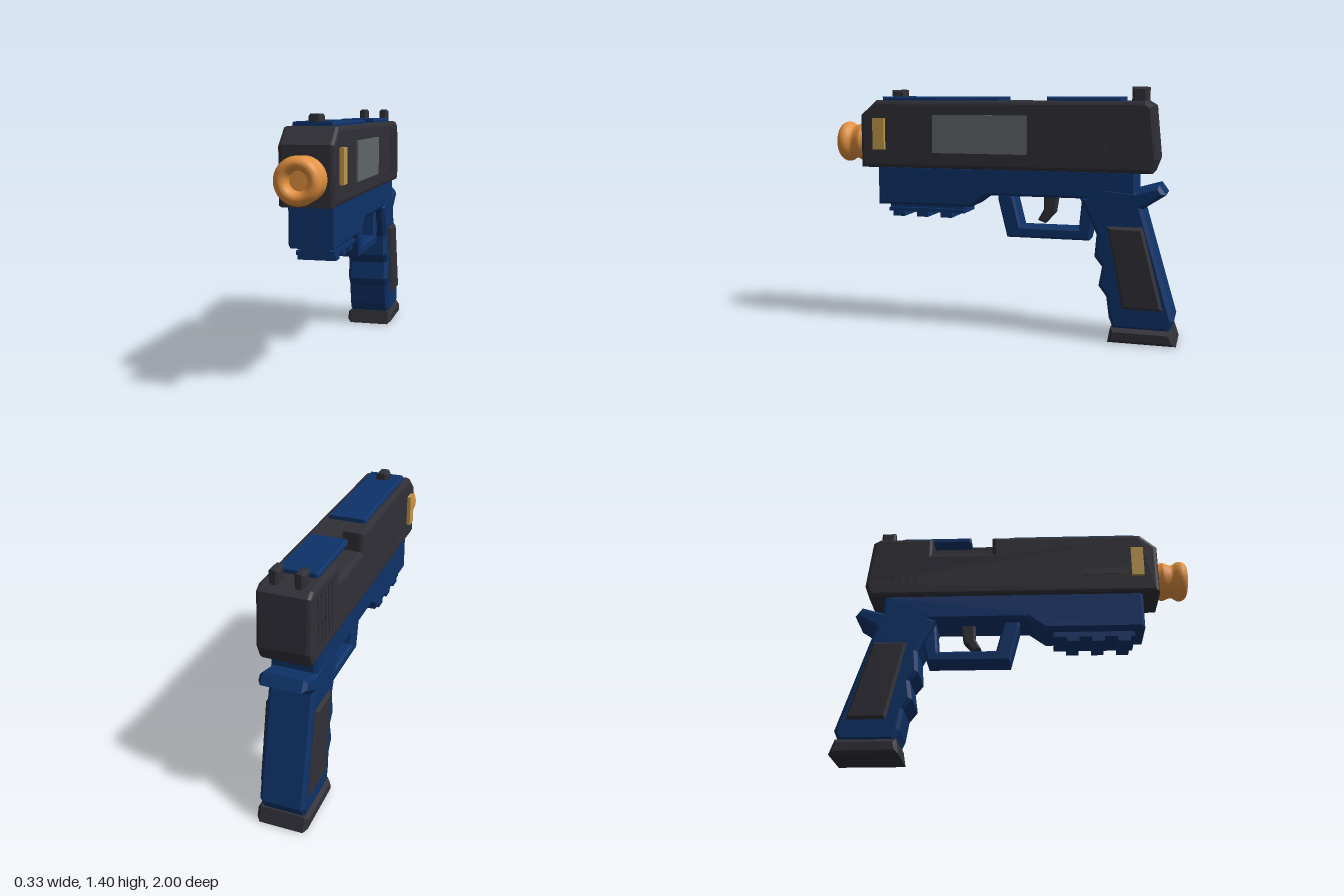
import * as THREE from 'three';

const mat = (name, color) => Object.assign(new THREE.MeshStandardMaterial({ color }), { name });

export function createModel() {
  const dark = mat('charcoal', 0x302f37);
  const blue = mat('navy blue', 0x0e3268);
  const orange = mat('orange', 0xe29140);
  const gold = mat('brass', 0xbf984c);
  const grey = mat('grey', 0x5f6567);
  const model = new THREE.Group();
  model.name = 'toyPistol';

  const add = (name, geometry, material) => {
    const mesh = new THREE.Mesh(geometry, material);
    mesh.name = name;
    model.add(mesh);
    return mesh;
  };

  // Side outline of [z, y] points, extruded from x0 to x1 with bevelled edges
  const slab = (points, x0, x1, bevel, segments = 1) => {
    const shape = new THREE.Shape(points.map(([z, y]) => new THREE.Vector2(z, y)));
    const g = new THREE.ExtrudeGeometry(shape, {
      depth: x1 - x0 - 2 * bevel, bevelEnabled: bevel > 0, bevelSize: bevel,
      bevelThickness: bevel, bevelOffset: -bevel, bevelSegments: segments,
    });
    g.rotateY(-Math.PI / 2);
    g.translate(x1 - bevel, 0, 0);
    return g;
  };

  // Cuts a slab flat at a plane of constant x
  const clampX = (g, lo, hi) => {
    const p = g.attributes.position;
    for (let i = 0; i < p.count; i++) p.setX(i, Math.min(hi, Math.max(lo, p.getX(i))));
    g.computeVertexNormals();
    return g;
  };

  const box = (name, x0, x1, y0, y1, z0, z1, material) => {
    const g = new THREE.BoxGeometry(x1 - x0, y1 - y0, z1 - z0);
    g.translate((x0 + x1) / 2, (y0 + y1) / 2, (z0 + z1) / 2);
    return add(name, g, material);
  };
  const rect = (z0, z1, y0, y1) => [[z0, y0], [z1, y0], [z1, y1], [z0, y1]];

  // Slide: two halves, the right one with the ejection notch
  const slideLow = [[-0.81, 1.325], [-0.85, 1.3], [-0.88, 1.015], [-0.852, 0.94], [0.825, 0.94], [0.825, 1.24], [0.73, 1.325]];
  const notch = [[-0.14, 1.325], [-0.14, 1.22], [-0.49, 1.22], [-0.49, 1.325]];
  add('slideLeftHalf', clampX(slab(slideLow, -0.2, 0.143, 0.022, 2), -0.03, 1), dark);
  add('slideRightHalf', clampX(slab([...slideLow, ...notch], -0.143, 0.1, 0.022, 2), -1, -0.03), dark);

  // Details on both sides of the slide
  for (const s of [-1, 1]) {
    const side = (name, depth, y0, y1, z0, z1, m) =>
      box(name, Math.min(s * 0.13, s * depth), Math.max(s * 0.13, s * depth), y0, y1, z0, z1, m);
    for (let i = 0; i < 5; i++) {
      const z = -0.578 - i * 0.045;
      side('gripRib', 0.146, 1.015, 1.28, z - 0.022, z, dark);
    }
    side('sideSlot', 0.146, 1.06, 1.105, 0.39, 0.65, dark);
    side('brassTab', 0.164, 1.045, 1.225, 0.67, 0.74, gold);
  }
  box('sidePanel', 0.13, 0.153, 1.03, 1.245, -0.165, 0.38, grey);

  // Top plates and sights
  add('frontTopPlate', slab(rect(-0.01, 0.7, 1.31, 1.347), -0.107, 0.107, 0.01), blue);
  add('rearTopPlate', slab(rect(-0.683, -0.27, 1.31, 1.347), -0.107, 0.107, 0.01), blue);
  add('frontSight', slab(rect(0.585, 0.67, 1.33, 1.385), -0.035, 0.035, 0.014), dark);
  for (const x of [-0.065, 0.065])
    add('rearSight', slab(rect(-0.812, -0.73, 1.3, 1.4), x - 0.025, x + 0.025, 0.012), dark);

  // Muzzle tip with a dished front and a shallow bore
  const profile = new THREE.SplineCurve([
    [0.1, -0.02], [0.108, 0.02], [0.113, 0.04], [0.1, 0.075], [0.098, 0.095], [0.115, 0.125],
    [0.116, 0.15], [0.102, 0.172], [0.082, 0.18], [0.062, 0.172], [0.05, 0.15], [0.049, 0.11],
  ].map(([r, h]) => new THREE.Vector2(r, h)));
  const muzzle = new THREE.LatheGeometry([...profile.getPoints(44)], 40);
  muzzle.rotateX(Math.PI / 2);
  muzzle.translate(0, 1.08, 0.82);
  add('muzzleTip', muzzle, orange);
  const bore = new THREE.CircleGeometry(0.051, 32);
  bore.translate(0, 1.08, 0.935);
  add('muzzleBore', bore, orange);

  // Frame under the slide
  add('frame', slab([[-0.765, 0.955], [-0.765, 0.78], [-0.46, 0.795], [0.07, 0.795], [0.165, 0.725],
    [0.728, 0.725], [0.728, 0.955]], -0.125, 0.125, 0.015), blue);

  // Accessory rail
  box('rail', -0.075, 0.075, 0.683, 0.73, 0.21, 0.67, blue);
  for (const z of [0.61, 0.465, 0.32]) box('railTooth', -0.1, 0.1, 0.655, 0.69, z - 0.035, z + 0.035, blue);
  box('railPlate', -0.1, 0.1, 0.683, 0.705, 0.21, 0.67, blue);

  // Grip with finger grooves and rear tang
  add('grip', slab([[-0.764, 0.845], [-0.887, 0.88], [-0.925, 0.827], [-0.803, 0.747], [-0.984, 0.137],
    [-0.957, 0.075], [-0.655, 0.075], [-0.63, 0.137], [-0.614, 0.254], [-0.57, 0.313], [-0.588, 0.42],
    [-0.545, 0.475], [-0.555, 0.6], [-0.46, 0.795], [-0.6, 0.86]], -0.127, 0.127, 0.02), blue);
  add('gripPanels', slab([[-0.614, 0.65], [-0.705, 0.195], [-0.925, 0.195], [-0.807, 0.65]],
    -0.145, 0.145, 0.016), dark);
  add('magazineBase', slab([[-0.64, 0.083], [-0.625, 0], [-1, 0], [-0.972, 0.083]],
    -0.143, 0.143, 0.02), dark);

  // Trigger and its guard
  add('triggerGuard', slab([[0.018, 0.772], [-0.036, 0.554], [-0.507, 0.554], [-0.54, 0.7], [-0.5, 0.8],
    [-0.465, 0.8], [-0.448, 0.618], [-0.116, 0.618], [-0.07, 0.8], [0.018, 0.8]], -0.073, 0.073, 0.012), blue);
  add('trigger', slab([[-0.24, 0.81], [-0.24, 0.715], [-0.205, 0.652], [-0.25, 0.635], [-0.308, 0.7],
    [-0.325, 0.81]], -0.03, 0.03, 0.01), dark);

  return model;
}
